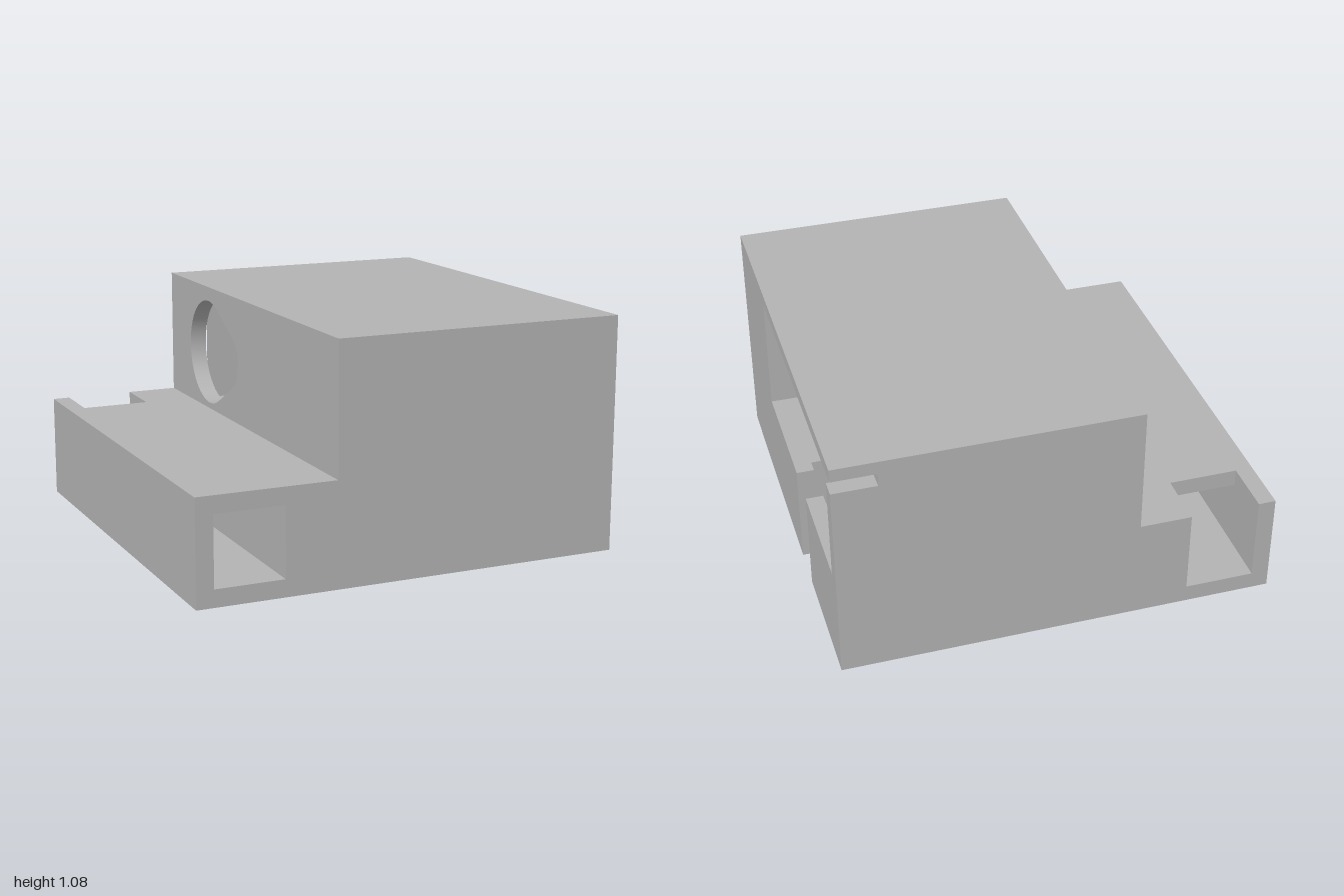
import * as THREE from 'three';
import { mergeGeometries, toCreasedNormals } from 'three/addons/utils/BufferGeometryUtils.js';

// In-plane axes (u, v) at position t along each axis, and the sign of u x v along it
const AXES = {
  x: { at: (u, v, t) => [t, v, u], sign: -1 },
  y: { at: (u, v, t) => [u, t, v], sign: -1 },
  z: { at: (u, v, t) => [u, v, t], sign: 1 },
};

function fromPoints(points) {
  const g = new THREE.BufferGeometry();
  g.setAttribute('position', new THREE.Float32BufferAttribute(points.flat(), 3));
  return g;
}

const toVectors = (pts) => pts.map(([u, v]) => new THREE.Vector2(u, v));
const rect = (u0, v0, u1, v1) => [[u0, v0], [u1, v0], [u1, v1], [u0, v1]];

// Flat face across an axis, looking along +axis or -axis
function face(axis, t, facing, outline, holes = []) {
  const { at, sign } = AXES[axis];
  const shape = new THREE.Shape(toVectors(outline));
  holes.forEach((h) => shape.holes.push(new THREE.Path(toVectors(h))));
  const flat = new THREE.ShapeGeometry(shape).toNonIndexed().getAttribute('position');
  const pts = [];
  for (let i = 0; i < flat.count; i += 3) {
    const order = facing === sign ? [i, i + 1, i + 2] : [i, i + 2, i + 1];
    order.forEach((k) => pts.push(at(flat.getX(k), flat.getY(k), t)));
  }
  return fromPoints(pts);
}

// Walls swept along an axis; they look to the right of the path
function walls(axis, from, to, path, closed = false) {
  const { at, sign } = AXES[axis];
  const [a, b] = sign > 0 ? [from, to] : [to, from];
  const pts = [];
  const n = closed ? path.length : path.length - 1;
  for (let i = 0; i < n; i++) {
    const p = path[i], q = path[(i + 1) % path.length];
    const [p0, q0, q1, p1] = [at(...p, a), at(...q, a), at(...q, b), at(...p, b)];
    pts.push(p0, q0, q1, p0, q1, p1);
  }
  return fromPoints(pts);
}

function arc(cu, cv, r, start, end, steps) {
  return Array.from({ length: steps + 1 }, (_, i) => {
    const a = start + ((end - start) * i) / steps;
    return [cu + r * Math.cos(a), cv + r * Math.sin(a)];
  });
}

const circle = (u, v, r) => arc(u, v, r, 0, Math.PI * 2, 32).slice(0, -1);

// Two circles joined by tangents
function teardrop(u1, r1, u2, r2, v) {
  const a = Math.acos((r1 - r2) / (u2 - u1));
  return [...arc(u1, v, r1, a, Math.PI * 2 - a, 40), ...arc(u2, v, r2, -a, a, 20)];
}

export function createModel() {
  const model = new THREE.Group();
  model.name = 'servoHousing';
  const grey = new THREE.MeshStandardMaterial({ color: 0xb3b3b3 });
  grey.name = 'grey';

  function part(name, pieces) {
    const mesh = new THREE.Mesh(toCreasedNormals(mergeGeometries(pieces), 0.5), grey);
    mesh.name = name;
    model.add(mesh);
  }

  const H = 1.08, STEP = 0.48, STEP_X = -0.36;
  const BACK_X = -0.28, LEDGE_X = 0.2, ROOF = 1.02;
  const tear = teardrop(-0.485, 0.252, -0.25, 0.14, 0.76);
  const tSlot = [[1, -0.38], [0.92, -0.38], [0.92, -0.44], [0.84, -0.44],
    [0.84, -0.12], [0.92, -0.12], [0.92, -0.18], [1, -0.18]];

  // Stepped outer body
  part('outerBody', [
    face('z', 1, 1, [[-1, 0], [1, 0], [1, H], [STEP_X, H], [STEP_X, STEP], [-1, STEP]],
      [rect(-0.92, 0.08, -0.6, 0.4)]),
    face('z', -1, -1, [[-1, 0], [1, 0], [1, 0.96], [0.8, 0.96], [0.8, ROOF], [1, ROOF], [1, H],
      [STEP_X, H], [STEP_X, STEP], [-0.6, STEP], [-0.6, 0.08], [-0.92, 0.08], [-0.92, STEP], [-1, STEP]]),
    face('y', 0, -1, [[1, -1], ...tSlot, [1, 1], [-1, 1], [-1, -1]]),
    face('y', H, 1, rect(STEP_X, -1, 1, 1)),
    face('y', STEP, 1, [[-1, -1], [-0.92, -1], [-0.92, -0.74], [-0.6, -0.74], [-0.6, -1],
      [STEP_X, -1], [STEP_X, 1], [-1, 1]]),
    face('x', -1, -1, rect(-1, 0, 1, STEP)),
    face('x', STEP_X, -1, rect(-1, STEP, 1, H), [tear]),
    face('x', 1, 1, [[1, 0], [-0.18, 0], [-0.18, STEP], [0.42, STEP], [0.42, ROOF],
      [-1, ROOF], [-1, H], [1, H]]),
    face('x', 1, 1, [[-1, 0], [-0.38, 0], [-0.38, STEP], [-0.92, STEP], [-0.92, 0.96], [-1, 0.96]]),
  ]);

  // Square tunnel, open at the top near the back
  part('squareTunnel', [
    walls('z', -1, 1, [[-0.6, 0.4], [-0.6, 0.08], [-0.92, 0.08], [-0.92, 0.4]]),
    walls('z', -0.74, 1, [[-0.92, 0.4], [-0.6, 0.4]]),
    walls('y', 0.4, STEP, [[-0.92, -1], [-0.92, -0.74], [-0.6, -0.74], [-0.6, -1]]),
  ]);

  // Vertical T-shaped slot below the pocket
  part('tSlot', [walls('y', 0, STEP, tSlot)]);

  // Wide outer pocket
  part('outerPocket', [
    face('y', STEP, 1, [[1, -0.92], ...tSlot, [1, 0.42], [LEDGE_X, 0.42], [LEDGE_X, -0.92]]),
    face('z', -0.92, 1, [[LEDGE_X, STEP], [1, STEP], [1, 0.96], [0.8, 0.96], [0.8, ROOF], [LEDGE_X, ROOF]]),
    walls('x', LEDGE_X, 1, [[-0.92, ROOF], [0.42, ROOF], [0.42, STEP]]),
  ]);

  // Narrower deep pocket and its end wall
  part('innerPocket', [
    walls('x', BACK_X, LEDGE_X, [[-0.72, STEP], [-0.72, ROOF], [0.22, ROOF], [0.22, STEP]], true),
    face('x', BACK_X, 1, rect(-0.72, STEP, 0.22, ROOF), [tear]),
  ]);

  // Mounting ledges with blind screw holes
  for (const [name, z0, z1, hole] of [['frontLedge', 0.22, 0.42, 0.3], ['backLedge', -0.92, -0.72, -0.85]]) {
    const ring = circle(hole, 0.76, 0.04);
    part(name, [
      face('x', LEDGE_X, 1, rect(z0, STEP, z1, ROOF), [ring]),
      walls('x', LEDGE_X - 0.4, LEDGE_X, [...ring].reverse(), true),
      face('x', LEDGE_X - 0.4, 1, ring),
    ]);
  }

  // Teardrop opening through the thin wall
  part('teardropOpening', [walls('x', STEP_X, BACK_X, [...tear].reverse(), true)]);

  // Cable notch through the back wall
  part('cableNotch', [
    face('y', 0.96, 1, rect(0.8, -1, 1, -0.92)),
    face('y', ROOF, -1, rect(0.8, -1, 1, -0.92)),
    face('x', 0.8, 1, rect(-1, 0.96, -0.92, ROOF)),
  ]);

  return model;
}
